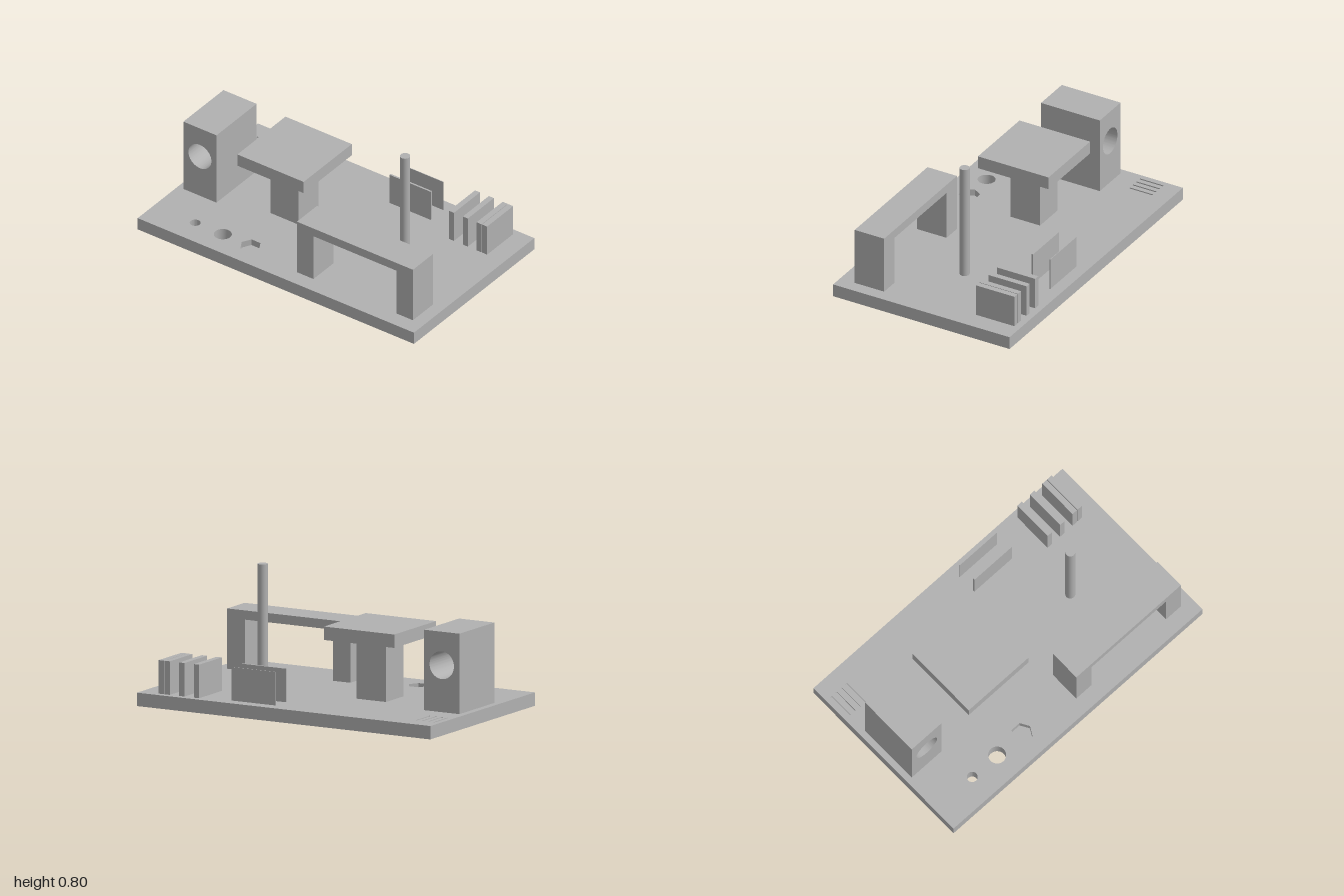
import * as THREE from 'three';
import { mergeGeometries, toCreasedNormals } from 'three/addons/utils/BufferGeometryUtils.js';

const BASE = 0.08; // top of the base plate

// Outlines as [x, z] points, running so that walls built on them face inward
const polygon = (cx, cz, r, n) => Array.from({ length: n }, (_, i) => {
  const a = (i / n) * Math.PI * 2;
  return new THREE.Vector2(cx + r * Math.cos(a), cz + r * Math.sin(a));
});
const rect = (x0, x1, z0, z1) => [[x0, z0], [x1, z0], [x1, z1], [x0, z1]]
  .map(([x, z]) => new THREE.Vector2(x, z));

// Flat horizontal face with holes, facing up or down
function cap(outline, holes, y, up) {
  const shape = new THREE.Shape(outline);
  shape.holes = holes.map((h) => new THREE.Path(h));
  const g = new THREE.ShapeGeometry(shape).rotateX(Math.PI / 2).translate(0, y, 0);
  if (up) {
    g.setIndex(Array.from(g.index.array).reverse());
    g.computeVertexNormals();
  }
  g.deleteAttribute('uv');
  return g.toNonIndexed();
}

// Vertical wall along a closed outline
function wall(points, y0, y1) {
  const pos = [];
  points.forEach((p, i) => {
    const q = points[(i + 1) % points.length];
    pos.push(p.x, y0, p.y, q.x, y0, q.y, q.x, y1, q.y);
    pos.push(p.x, y0, p.y, q.x, y1, q.y, p.x, y1, p.y);
  });
  const g = new THREE.BufferGeometry();
  g.setAttribute('position', new THREE.Float32BufferAttribute(pos, 3));
  g.computeVertexNormals();
  return g;
}

function basePlate() {
  const outline = rect(-1, 1, -0.6, 0.6);
  const through = [polygon(-0.7, 0.44, 0.032, 32), polygon(-0.5, 0.44, 0.053, 40)];
  // Blind pockets: a hexagon and four fine grooves
  const pockets = [{ points: polygon(-0.3, 0.44, 0.064, 6), floor: 0.04 }];
  for (let i = 0; i < 4; i++) {
    const x = -0.965 + i * 0.04;
    pockets.push({ points: rect(x, x + 0.01, -0.49, -0.33), floor: 0.07 });
  }
  const parts = [
    cap(outline, [...through, ...pockets.map((p) => p.points)], BASE, true),
    cap(outline, through, 0, false),
    wall([...outline].reverse(), 0, BASE),
    ...through.map((h) => wall(h, 0, BASE)),
  ];
  for (const { points, floor } of pockets) {
    parts.push(wall(points, floor, BASE), cap(points, [], floor, true));
  }
  return toCreasedNormals(mergeGeometries(parts), 0.5);
}

// Front-facing outline extruded between two depths
function extrude(shape, z0, z1) {
  const g = new THREE.ExtrudeGeometry(shape, { depth: z1 - z0, bevelEnabled: false, curveSegments: 48 });
  return toCreasedNormals(g.translate(0, 0, z0), 0.5);
}

export function createModel() {
  const model = new THREE.Group();
  const grey = new THREE.MeshStandardMaterial({ color: 0xb0b0b0 });
  grey.name = 'grey';

  const add = (name, geometry) => {
    const mesh = new THREE.Mesh(geometry, grey);
    mesh.name = name;
    model.add(mesh);
  };
  const box = (name, x0, x1, y0, y1, z0, z1) => add(name,
    new THREE.BoxGeometry(x1 - x0, y1 - y0, z1 - z0)
      .translate((x0 + x1) / 2, (y0 + y1) / 2, (z0 + z1) / 2));

  add('basePlate', basePlate());

  // Block with a horizontal bore
  const block = new THREE.Shape(rect(-0.96, -0.72, BASE, 0.56));
  block.holes.push(new THREE.Path().absarc(-0.84, 0.36, 0.083, 0, Math.PI * 2, true));
  add('boredBlock', extrude(block, -0.2, 0.2));

  // Overhanging table
  box('tablePost', -0.4, -0.2, BASE, 0.44, -0.1, 0.1);
  box('tableTop', -0.54, -0.06, 0.44, 0.52, -0.24, 0.24);

  // Bridge: two legs and a beam in one outline
  const bridge = new THREE.Shape([
    [0.08, BASE], [0.2, BASE], [0.2, 0.385], [0.8, 0.385],
    [0.8, BASE], [0.92, BASE], [0.92, 0.44], [0.08, 0.44],
  ].map(([x, y]) => new THREE.Vector2(x, y)));
  add('bridge', extrude(bridge, 0.3, 0.5));

  // Slim pole
  add('pole', new THREE.CylinderGeometry(0.03, 0.03, 0.8 - BASE, 32)
    .translate(0.5, (0.8 + BASE) / 2, 0));

  // Thin upright walls
  box('thinWall', 0.1, 0.4, BASE, 0.28, -0.406, -0.394);
  box('thinnestWall', 0.1, 0.4, BASE, 0.28, -0.523, -0.519);

  // Fins with a narrowing gap
  [0.6, 0.7, 0.8, 0.84].forEach((x, i) =>
    box(`fin${i + 1}`, x, x + 0.036, BASE, 0.28, -0.56, -0.3));

  return model;
}
